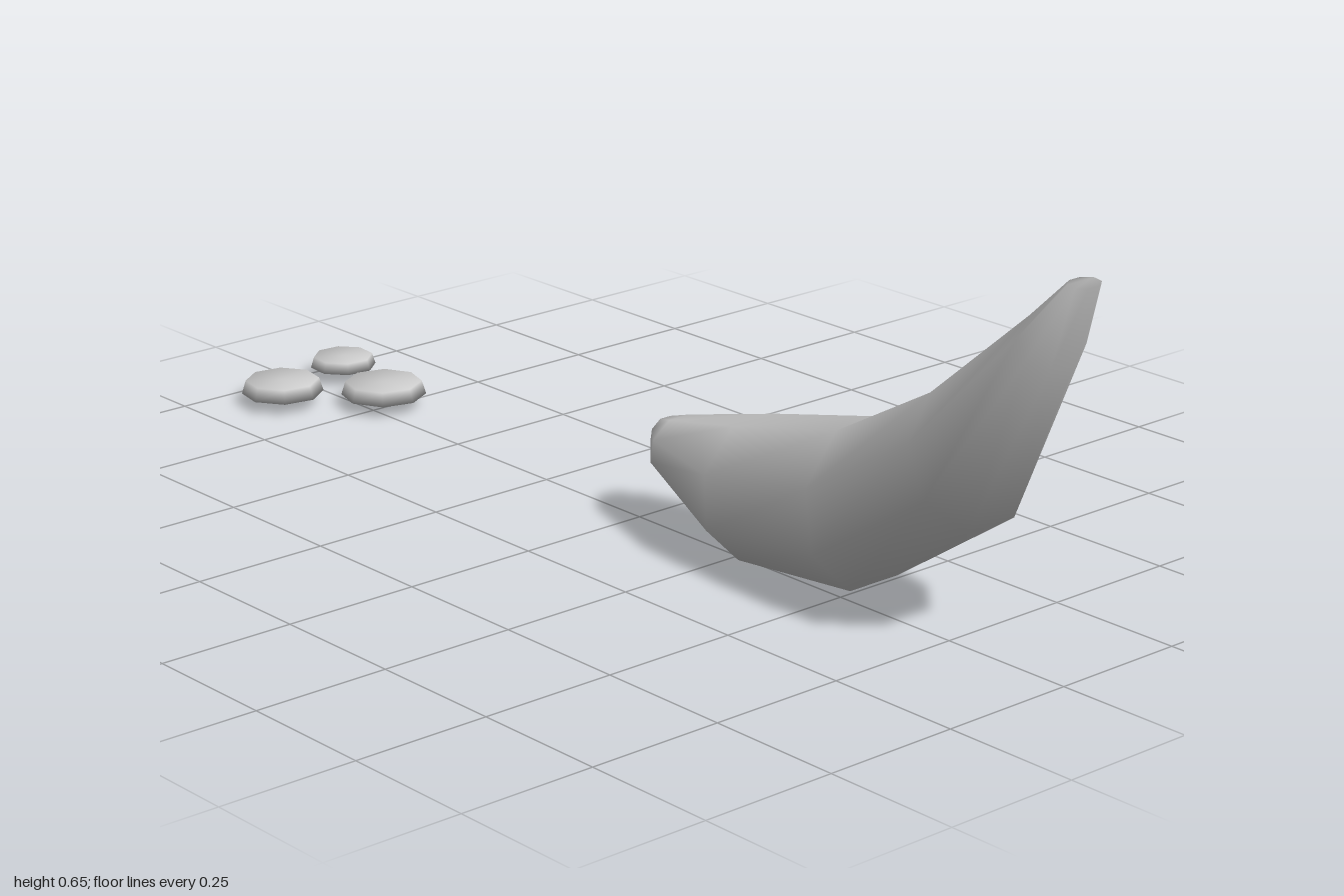
import * as THREE from 'three';
import { mergeVertices } from 'three/addons/utils/BufferGeometryUtils.js';

const SIDES = 8;
const HALF = Math.PI / SIDES;

// Loft of flat-bottomed octagons: [upper z, upper y, lower z, lower y, half width]
function loft(rings, cx) {
  const pos = [], index = [], last = rings.length - 1;
  for (const [tz, ty, bz, by, w] of rings) {
    for (let k = 0; k < SIDES; k++) {
      const a = (2 * k + 1) * HALF;
      const c = Math.cos(a) / Math.cos(HALF), s = Math.sin(a) / Math.cos(HALF);
      pos.push(cx + w * c, (ty + by) / 2 + s * (ty - by) / 2, (tz + bz) / 2 + s * (tz - bz) / 2);
    }
  }
  for (let i = 0; i < last; i++) {
    for (let k = 0; k < SIDES; k++) {
      const a = i * SIDES + k, b = i * SIDES + (k + 1) % SIDES;
      index.push(a, a + SIDES, b + SIDES, a, b + SIDES, b);
    }
  }
  // end caps
  const e = last * SIDES;
  for (let k = 1; k < SIDES - 1; k++) {
    index.push(0, k, k + 1, e, e + k + 1, e + k);
  }
  const geo = new THREE.BufferGeometry();
  geo.setAttribute('position', new THREE.Float32BufferAttribute(pos, 3));
  geo.setIndex(index);
  geo.computeVertexNormals();
  return geo;
}

// Low eight-sided disc, slightly wider at the base, with softened edges
function disc(radius, height) {
  const geo = new THREE.CylinderGeometry(radius * 0.9, radius, height, SIDES);
  geo.deleteAttribute('normal');
  geo.deleteAttribute('uv');
  const soft = mergeVertices(geo);
  soft.computeVertexNormals();
  return soft;
}

export function createModel() {
  const group = new THREE.Group();
  const material = new THREE.MeshStandardMaterial({ color: 0xcccccc });

  // curved fruit, from stem tip to blunt end
  const fruit = new THREE.Mesh(loft([
    [0.96, 0.65, 1.0, 0.645, 0.03],
    [0.895, 0.582, 0.94, 0.5, 0.068],
    [0.71, 0.415, 0.8, 0.205, 0.126],
    [0.5, 0.296, 0.54, 0.03, 0.131],
    [0.25, 0.237, 0.265, 0.003, 0.118],
    [0.06, 0.192, 0.045, 0.09, 0.055],
    [0.025, 0.183, 0.015, 0.13, 0.028],
  ], 0.037), material);
  fruit.name = 'banana';
  group.add(fruit);

  // cut slices lying behind: x, z, radius, height, turn
  const slices = [
    [-0.1, -0.896, 0.076, 0.025, 0.2],
    [0.035, -0.763, 0.079, 0.025, 0.1],
    [0.076, -0.941, 0.062, 0.02, 0.3],
  ];
  slices.forEach(([x, z, r, h, turn], i) => {
    const slice = new THREE.Mesh(disc(r, h), material);
    slice.name = `slice${i + 1}`;
    slice.position.set(x, 0.037, z);
    slice.rotation.y = turn;
    group.add(slice);
  });

  return group;
}
